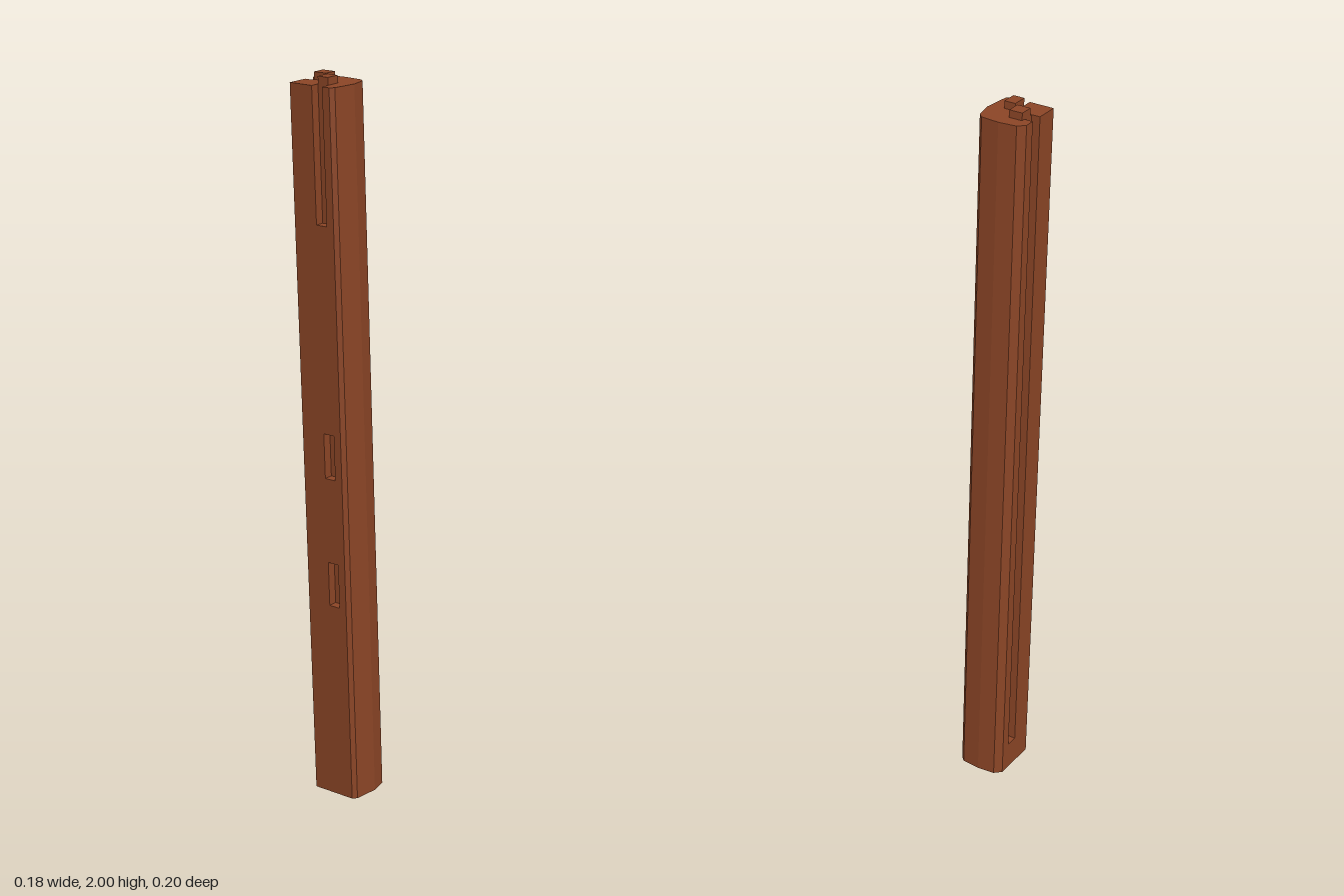
import * as THREE from 'three';
import { mergeGeometries } from 'three/addons/utils/BufferGeometryUtils.js';

const TOP = 1.98; // shoulder height, where the sections are defined

// The post leans: sections slide in x and z towards the foot
const lean = (x, y, z) => [x + 0.036 * (1 - y / TOP), y, z - 0.053 * (1 - y / TOP)];

// Cross-section as [x, z], counter-clockwise from above
const slot = [[-0.02, 0.099], [-0.02, 0.073], [0.013, 0.073], [0.013, 0.099]];
const groove = [[-0.09, 0.003], [-0.066, 0.003], [-0.066, 0.036], [-0.09, 0.036]];
const section = (hasSlot, hasGroove) => [
  [-0.09, 0.099], ...(hasSlot ? slot : []),
  [0.035, 0.099], [0.045, 0.088], [0.053, 0.018], [0.043, -0.03], [0.03, -0.042],
  [-0.022, -0.047], [-0.072, -0.042], [-0.09, -0.025], ...(hasGroove ? groove : []),
];

function geometryFrom(positions) {
  const g = new THREE.BufferGeometry();
  g.setAttribute('position', new THREE.Float32BufferAttribute(positions, 3));
  g.computeVertexNormals();
  return g;
}

// Side faces between two heights
function walls(points, y0, y1) {
  const out = [];
  points.forEach(([ax, az], i) => {
    const [bx, bz] = points[(i + 1) % points.length];
    const a0 = lean(ax, y0, az), b0 = lean(bx, y0, bz);
    const a1 = lean(ax, y1, az), b1 = lean(bx, y1, bz);
    out.push(...a0, ...b0, ...b1, ...a0, ...b1, ...a1);
  });
  return geometryFrom(out);
}

// Horizontal face at one height, looking up or down
function cap(points, y, up) {
  const contour = points.map(([x, z]) => new THREE.Vector2(x, -z));
  if (THREE.ShapeUtils.isClockWise(contour)) contour.reverse();
  const out = [];
  for (const [a, b, c] of THREE.ShapeUtils.triangulateShape(contour, [])) {
    for (const i of up ? [a, b, c] : [a, c, b]) out.push(...lean(contour[i].x, y, -contour[i].y));
  }
  return geometryFrom(out);
}

export function createModel() {
  const model = new THREE.Group();
  const wood = new THREE.MeshStandardMaterial({ color: 0x8b4526 });
  wood.name = 'reddish brown wood';

  const add = (name, parts) => {
    const mesh = new THREE.Mesh(mergeGeometries(parts), wood);
    mesh.name = name;
    model.add(mesh);
  };

  // Post: stretches of [from, to, front slot, side groove]
  const stretches = [
    [0, 0.08, false, false],
    [0.08, 0.565, false, true],
    [0.565, 0.69, true, true],
    [0.69, 0.93, false, true],
    [0.93, 1.055, true, true],
    [1.055, 1.62, false, true],
    [1.62, TOP, true, true],
  ];
  const post = stretches.map(([y0, y1, s, g]) => walls(section(s, g), y0, y1));
  post.push(cap(section(false, false), 0, false), cap(section(true, true), TOP, true));

  // Floors and ceilings of the groove, mortises and top slot
  post.push(cap(groove, 0.08, true));
  for (const y of [0.565, 0.93, 1.62]) post.push(cap(slot, y, true));
  for (const y of [0.69, 1.055]) post.push(cap(slot, y, false));
  add('post', post);

  // Two short tenons on the top end
  const tenon = (name, x0, x1, z0, z1) => {
    const p = [[x0, z1], [x1, z1], [x1, z0], [x0, z0]];
    add(name, [walls(p, TOP, 2), cap(p, 2, true), cap(p, TOP, false)]);
  };
  tenon('sideTenon', -0.066, -0.028, -0.008, 0.029);
  tenon('frontTenon', -0.02, 0.012, 0.032, 0.073);

  return model;
}
